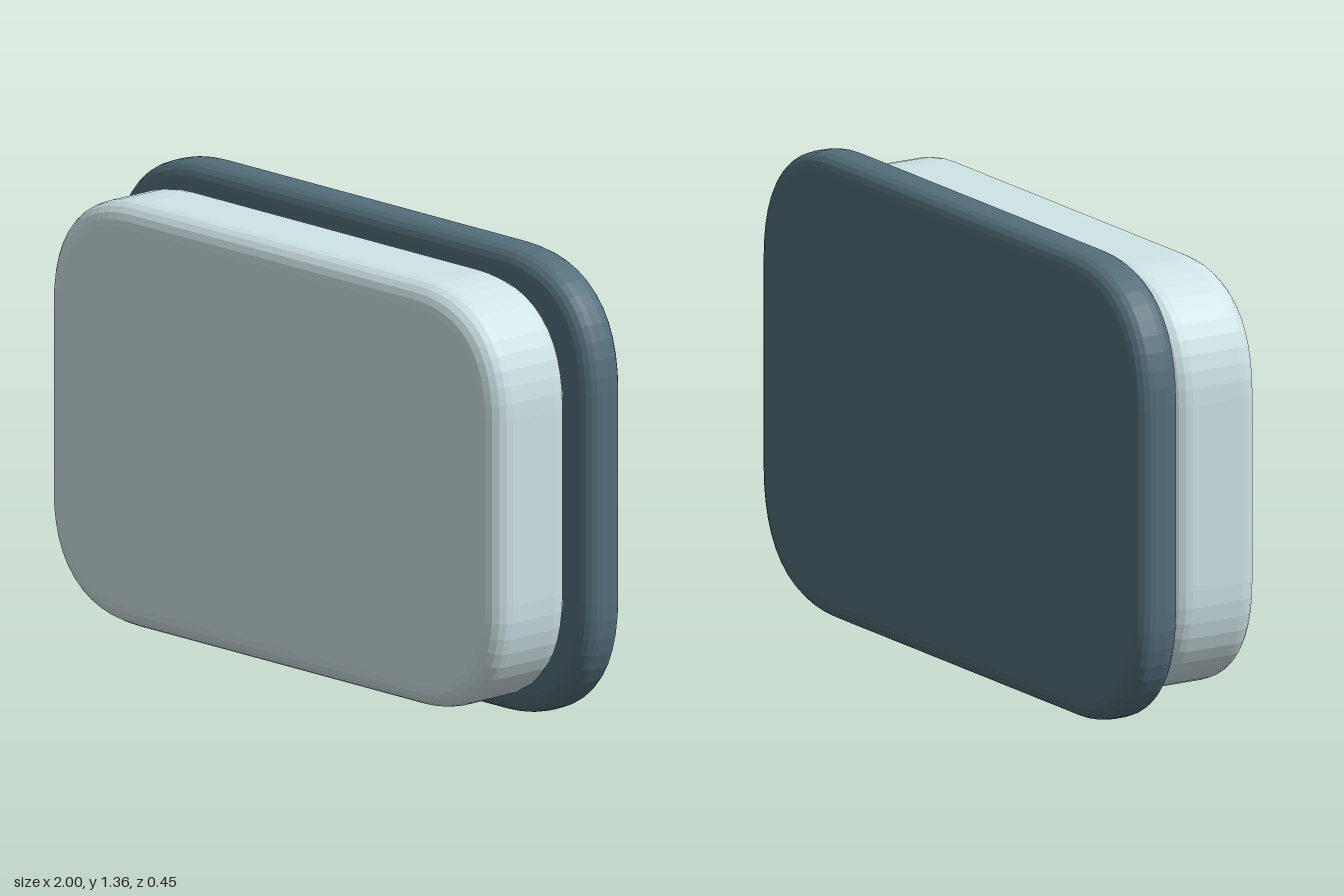
import * as THREE from 'three';

// Pillow-edged slab: softly cornered outline, extruded with a rounded bevel.
// w, h, depth are overall sizes; corner is the overall reach of each corner curve.
function slab(name, color, w, h, depth, corner, bevel, z) {
  const x = w / 2 - bevel, y = h / 2 - bevel, r = corner - bevel;
  const s = new THREE.Shape();
  s.moveTo(-x + r, -y);
  s.lineTo(x - r, -y);
  s.quadraticCurveTo(x, -y, x, -y + r);
  s.lineTo(x, y - r);
  s.quadraticCurveTo(x, y, x - r, y);
  s.lineTo(-x + r, y);
  s.quadraticCurveTo(-x, y, -x, y - r);
  s.lineTo(-x, -y + r);
  s.quadraticCurveTo(-x, -y, -x + r, -y);

  const geometry = new THREE.ExtrudeGeometry(s, {
    depth: depth - 2 * bevel,
    bevelEnabled: true,
    bevelThickness: bevel,
    bevelSize: bevel,
    bevelSegments: 5,
    curveSegments: 12,
  });
  geometry.center();
  const mesh = new THREE.Mesh(geometry, new THREE.MeshStandardMaterial({ color }));
  mesh.name = name;
  mesh.position.set(0, 0.68, z);
  return mesh;
}

export function createModel() {
  const group = new THREE.Group();
  group.name = 'layeredPanel';
  // Dark backing plate
  group.add(slab('backPlate', 0x546e7a, 2, 1.36, 0.148, 0.38, 0.055, -0.151));
  // Pale, thicker front panel
  group.add(slab('frontPanel', 0xcfe3e6, 1.88, 1.24, 0.298, 0.35, 0.067, 0.076));
  return group;
}
